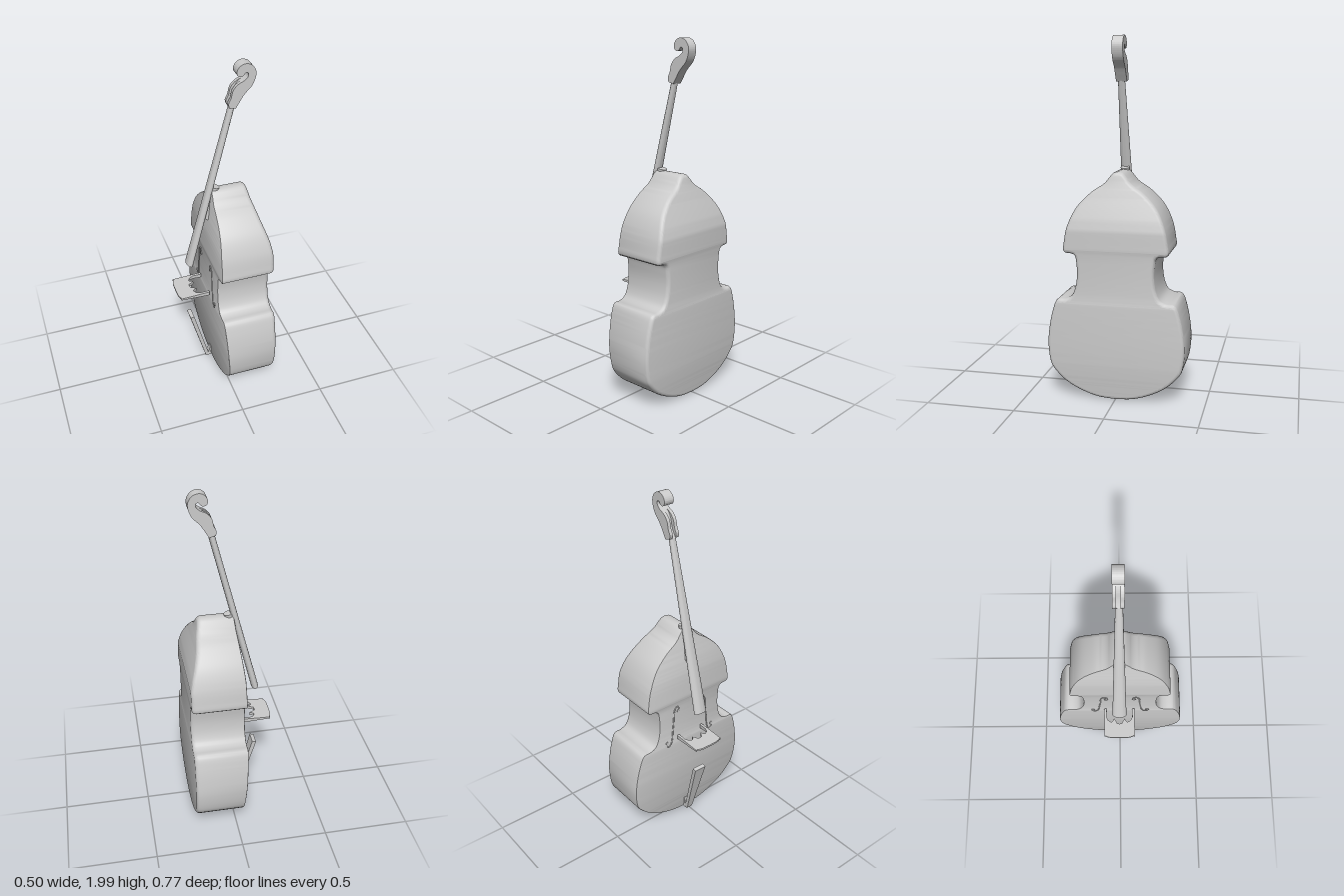
import * as THREE from 'three';
import { toCreasedNormals } from 'three/addons/utils/BufferGeometryUtils.js';

const material = new THREE.MeshStandardMaterial({ color: 0xcccccc, side: THREE.DoubleSide });
const ZC = -0.004; // centre line of the instrument

function part(name, geometry, crease = 0.6) {
  const mesh = new THREE.Mesh(toCreasedNormals(geometry, crease), material);
  mesh.name = name;
  return mesh;
}

// Interpolate a [key, value] table smoothly
function along(table, y) {
  for (let i = 1; i < table.length; i++) {
    const [y0, v0] = table[i - 1], [y1, v1] = table[i];
    if (y <= y1) return v0 + (v1 - v0) * Math.max(0, (y - y0) / (y1 - y0));
  }
  return table[table.length - 1][1];
}
const frontX = y => along([[0, -0.034], [0.18, -0.038], [0.35, -0.051], [0.58, -0.063], [0.83, -0.063], [1, -0.058], [1.13, -0.045], [1.28, -0.033]], y);
const backX = y => along([[0, 0.244], [0.96, 0.246], [1.02, 0.234], [1.13, 0.2], [1.22, 0.177], [1.28, 0.165]], y);

// Body: half outline (half width, height) swept as rows with rounded rims
function bodyGeometry() {
  const outline = [[0, 0.008], [0.1, 0.017], [0.2, 0.049], [0.29, 0.1], [0.362, 0.176], [0.375, 0.21], [0.386, 0.31],
    [0.377, 0.41], [0.358, 0.5], [0.337, 0.558], [0.322, 0.57], [0.285, 0.572], [0.25, 0.588], [0.228, 0.63],
    [0.216, 0.7], [0.218, 0.77], [0.228, 0.82], [0.25, 0.829], [0.281, 0.832], [0.293, 0.845], [0.289, 0.89],
    [0.271, 0.98], [0.225, 1.08], [0.15, 1.16], [0.075, 1.213], [0.045, 1.25], [0.025, 1.27], [0, 1.275]];
  const curve = new THREE.CatmullRomCurve3(outline.map(([w, y]) => new THREE.Vector3(w, y, 0)), false, 'centripetal');
  const n = 140, pts = curve.getSpacedPoints(n);
  // Rim profile from back to front: [side, depth, inset]
  const rim = [];
  for (let k = 0; k <= 4; k++) {
    const a = k / 4 * Math.PI / 2;
    rim.push([1, 0.024 * (1 - Math.cos(a)), 0.02 * (1 - Math.sin(a))]);
  }
  for (let k = 0; k <= 2; k++) {
    const a = k / 2 * Math.PI / 2;
    rim.push([0, 0.007 * (1 - Math.sin(a)), 0.007 * (1 - Math.cos(a))]);
  }
  const positions = [], index = [], m = rim.length * 2;
  pts.forEach((p, i) => {
    const t = pts[Math.min(n, i + 2)].clone().sub(pts[Math.max(0, i - 2)]).normalize();
    if (i === 0 || i === n) t.set(i ? -1 : 1, 0, 0);
    const ring = rim.map(([back, depth, inset]) => {
      const w = Math.max(0, p.x - t.y * inset), y = p.y + t.x * inset;
      return [back ? backX(y) - depth : frontX(y) + depth, y, w];
    });
    ring.forEach(([x, y, w]) => positions.push(x, y, w));
    ring.reverse().forEach(([x, y, w]) => positions.push(x, y, -w));
  });
  for (let i = 0; i < n; i++) for (let j = 0; j < m; j++) {
    const a = i * m + j, b = i * m + (j + 1) % m, c = b + m, d = a + m;
    index.push(a, d, c, a, c, b);
  }
  const g = new THREE.BufferGeometry();
  g.setAttribute('position', new THREE.Float32BufferAttribute(positions, 3));
  g.setIndex(index);
  return g;
}

// Tapered bar between two points in the side plane; w and t are half sizes
function bar(name, base, [x0, y0], [x1, y1], w0, w1, t0, t1) {
  const g = base.clone(), p = g.attributes.position, length = Math.hypot(x1 - x0, y1 - y0);
  for (let i = 0; i < p.count; i++) {
    const s = p.getY(i) + 0.5;
    p.setXYZ(i, p.getX(i) * (t0 + (t1 - t0) * s), p.getY(i) * length, p.getZ(i) * (w0 + (w1 - w0) * s));
  }
  g.rotateZ(Math.atan2(x0 - x1, y1 - y0));
  g.translate((x0 + x1) / 2, (y0 + y1) / 2, ZC);
  return part(name, g);
}

function plate(shape, z0, z1) {
  const g = new THREE.ExtrudeGeometry(shape, { depth: z1 - z0, bevelEnabled: false, curveSegments: 10 });
  return g.translate(0, 0, z0);
}

// Scroll profile; inset pulls in the front of the pegbox to leave a slot
function scrollShape(inset) {
  const s = new THREE.Shape();
  s.moveTo(0.098, 1.757);
  s.splineThru([[0.118, 1.79], [0.145, 1.832], [0.185, 1.875], [0.203, 1.92], [0.203, 1.955], [0.182, 1.987],
    [0.148, 1.999], [0.118, 1.988], [0.102, 1.962], [0.107, 1.938], [0.125, 1.93], [0.14, 1.938], [0.15, 1.95],
    [0.163, 1.945], [0.161, 1.925], [0.14, 1.906]].map(p => new THREE.Vector2(...p)));
  s.splineThru([[0.108 + inset * 0.6, 1.89], [0.083 + inset, 1.86], [0.073 + inset, 1.82], [0.06 + inset, 1.79],
    [0.064, 1.766]].map(p => new THREE.Vector2(...p)));
  s.closePath();
  return s;
}

// Bridge drawn in plan (x, z): wide top, two legs and an arched cut-out
function bridgeGeometry() {
  const half = [[-0.25, 0], [-0.249, 0.05], [-0.243, 0.075], [-0.238, 0.083], [-0.24, 0.092], [-0.16, 0.092],
    [-0.07, 0.092], [-0.067, 0.08], [-0.075, 0.077], [-0.12, 0.078], [-0.142, 0.068], [-0.153, 0.05],
    [-0.15, 0.042], [-0.13, 0.032], [-0.145, 0.022], [-0.162, 0.014], [-0.164, 0]];
  const other = half.slice(1, -1).reverse().map(([x, z]) => [x, -z]);
  const shape = new THREE.Shape([...half, ...other].map(p => new THREE.Vector2(...p)));
  const g = plate(shape, -0.5, 0.5).rotateX(Math.PI / 2), p = g.attributes.position;
  // Thin at the string edge, thicker at the feet
  for (let i = 0; i < p.count; i++) {
    p.setY(i, 0.599 + p.getY(i) * (0.01 + 0.014 * (p.getX(i) + 0.25) / 0.18));
  }
  return g.translate(0, 0, ZC);
}

// Sound hole: slim S curve with round ends, lying on the front
function soundHole(side) {
  const group = new THREE.Group();
  group.name = side > 0 ? 'leftSoundHole' : 'rightSoundHole';
  const pts = [[0.082, 0.775], [0.078, 0.797], [0.095, 0.808], [0.112, 0.785], [0.118, 0.72], [0.124, 0.66],
    [0.134, 0.575], [0.15, 0.548], [0.168, 0.558], [0.165, 0.58]];
  const place = ([z, y]) => new THREE.Vector3(frontX(y) - 0.0005, y, z * side);
  const curve = new THREE.CatmullRomCurve3(pts.map(place));
  group.add(part('soundHoleSlit', new THREE.TubeGeometry(curve, 48, 0.004, 6)));
  for (const end of [pts[0], pts[pts.length - 1]]) {
    const disc = part('soundHoleEye', new THREE.CylinderGeometry(0.011, 0.011, 0.006, 16).rotateZ(Math.PI / 2));
    disc.position.copy(place(end));
    group.add(disc);
  }
  return group;
}

export function createModel() {
  const model = new THREE.Group();
  model.name = 'uprightBass';
  const round = new THREE.CylinderGeometry(1, 1, 1, 28);
  const square = new THREE.BoxGeometry(2, 1, 2);

  model.add(part('body', bodyGeometry(), 0.55));
  model.add(soundHole(1), soundHole(-1));

  // Neck with fingerboard, and the heel joining it to the body
  model.add(bar('neck', round, [-0.162, 0.784], [0.084, 1.765], 0.041, 0.019, 0.02, 0.017));
  model.add(bar('heel', round, [-0.05, 1.08], [-0.006, 1.285], 0.018, 0.025, 0.016, 0.026));

  // Scroll: two cheeks and a recessed core
  const scroll = new THREE.Group();
  scroll.name = 'scroll';
  scroll.add(part('rightCheek', plate(scrollShape(0), -0.037, -0.018)));
  scroll.add(part('pegboxCore', plate(scrollShape(0.02), -0.018, 0.004)));
  scroll.add(part('leftCheek', plate(scrollShape(0), 0.004, 0.023)));
  model.add(scroll);

  model.add(part('bridge', bridgeGeometry()));

  // Tailpiece with its anchor at the bottom of the body
  model.add(bar('tailpiece', square, [-0.062, 0.02], [-0.16, 0.384], 0.019, 0.038, 0.011, 0.012));
  model.add(bar('tailAnchor', square, [-0.066, 0.016], [-0.03, 0.022], 0.016, 0.02, 0.008, 0.008));
  model.add(bar('saddle', square, [-0.052, 0.014], [-0.036, 0.075], 0.02, 0.014, 0.007, 0.005));
  return model;
}
